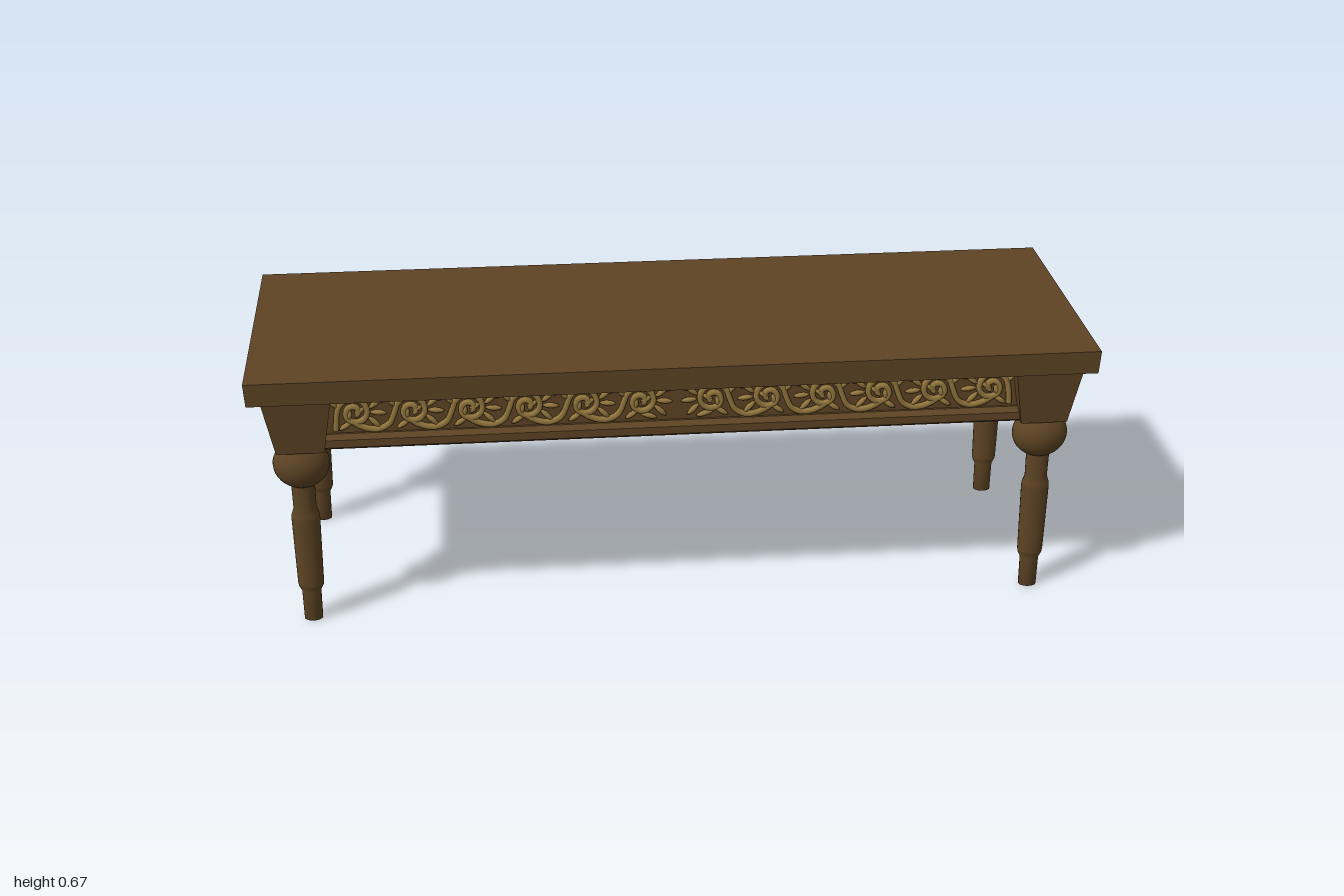
import * as THREE from 'three';
import { mergeGeometries } from 'three/addons/utils/BufferGeometryUtils.js';

const wood = new THREE.MeshStandardMaterial({ color: 0x5e4424 });
wood.name = 'brown wood';
const gilt = new THREE.MeshStandardMaterial({ color: 0x94773d });
gilt.name = 'old gold';

function add(parent, name, geometry, material) {
  const mesh = new THREE.Mesh(geometry, material);
  mesh.name = name;
  parent.add(mesh);
  return mesh;
}

// Box whose lower and upper faces are [x0, x1, z0, z1] rectangles
function taperedBox(y0, y1, low, high) {
  const g = new THREE.BoxGeometry(1, 1, 1);
  const p = g.attributes.position;
  for (let i = 0; i < p.count; i++) {
    const r = p.getY(i) > 0 ? high : low;
    p.setXYZ(i, p.getX(i) > 0 ? r[1] : r[0], p.getY(i) > 0 ? y1 : y0, p.getZ(i) > 0 ? r[3] : r[2]);
  }
  g.computeVertexNormals();
  return g;
}
const rect = (x, z) => [-x, x, -z, z];
const span = (s, a, b) => (s > 0 ? [a, b] : [-b, -a]);

// Turned leg, slightly wider in x than in z
function legGeometry() {
  const profile = [
    [0, 0], [0.0175, 0], [0.0182, 0.078], [0.0235, 0.092], [0.0245, 0.1],
    [0.0268, 0.278], [0.0262, 0.287], [0.0215, 0.304], [0.0222, 0.375],
  ].map(([r, y]) => new THREE.Vector2(r, y));
  return new THREE.LatheGeometry(profile, 24).scale(1.27, 1, 1);
}

// One running scroll: a trough, a rising stem and an inward curl with leaves
function scrollGeometry(s, first) {
  const parts = [];
  const path = first ? [[-0.045, -0.04]] : [[-0.135, -0.022], [-0.11, -0.036], [-0.08, -0.04], [-0.055, -0.028]];
  for (let i = 0; i <= 20; i++) {
    const a = Math.PI - (i / 20) * Math.PI * 3.4;
    const r = 0.04 - 0.034 * (i / 20);
    path.push([r * Math.cos(a), 0.004 + r * Math.sin(a)]);
  }
  const curve = new THREE.CatmullRomCurve3(path.map(([x, y]) => new THREE.Vector3(s * x, y, 0)));
  parts.push(new THREE.TubeGeometry(curve, 52, 0.0075, 6));
  // leaves fanned around the curl and along the trough: x, y, angle, length
  const leaves = [
    [0.05, 0.026, 0.7, 0.02], [0.056, 0.002, -0.1, 0.02], [0.046, -0.022, -0.8, 0.02],
    [0.018, -0.034, -0.3, 0.022], [-0.022, -0.03, 0.6, 0.018], [-0.048, 0.03, 2.2, 0.018],
    [0.012, 0.008, 0.5, 0.014], [-0.012, -0.004, 1.4, 0.014], [0.066, 0.034, 0.3, 0.014],
  ];
  for (const [x, y, a, len] of leaves) {
    const leaf = new THREE.SphereGeometry(1, 8, 6).scale(len, 0.0065, 0.007);
    leaf.rotateZ(s * a).translate(s * x, y, 0);
    parts.push(leaf);
  }
  return mergeGeometries(parts);
}

// Carved band along one long side, mirrored about its middle
function carvedBand() {
  const parts = [];
  for (const s of [1, -1]) {
    for (let i = 0; i < 6; i++) {
      parts.push(scrollGeometry(s, i === 0).translate(s * (-0.755 + i * 0.134), 0.556, 0));
    }
  }
  return mergeGeometries(parts);
}

export function createModel() {
  const model = new THREE.Group();
  model.name = 'bench';

  add(model, 'top', taperedBox(0.609, 0.666, rect(0.997, 0.333), rect(1, 0.335)), wood);

  // Apron with a moulded lower rail
  add(model, 'apron', taperedBox(0.5, 0.61, rect(0.87, 0.274), rect(0.87, 0.274)), wood);
  add(model, 'railBevel', taperedBox(0.495, 0.506, rect(0.888, 0.292), rect(0.876, 0.28)), wood);
  add(model, 'rail', taperedBox(0.476, 0.495, rect(0.888, 0.292), rect(0.888, 0.292)), wood);
  add(model, 'railUnderside', taperedBox(0.468, 0.476, rect(0.878, 0.282), rect(0.888, 0.292)), wood);

  // Carving on both long sides
  const band = carvedBand();
  for (const side of [1, -1]) {
    const carving = add(model, side > 0 ? 'frontCarving' : 'backCarving', band, gilt);
    carving.position.z = side * 0.28;
    carving.rotation.y = side > 0 ? 0 : Math.PI;
  }

  // Four corner blocks with ball and turned leg
  const leg = legGeometry();
  const ball = new THREE.SphereGeometry(1, 28, 20).scale(0.067, 0.062, 0.053);
  for (const sx of [1, -1]) {
    for (const sz of [1, -1]) {
      const corner = new THREE.Group();
      corner.name = (sz > 0 ? 'front' : 'back') + (sx > 0 ? 'Left' : 'Right') + 'Leg';
      const low = [...span(sx, 0.829, 0.941), ...span(sz, 0.212, 0.3)];
      const high = [...span(sx, 0.805, 0.966), ...span(sz, 0.193, 0.32)];
      add(corner, 'cornerBlock', taperedBox(0.468, 0.61, low, high), wood);
      add(corner, 'ball', ball, wood).position.set(sx * 0.888, 0.424, sz * 0.257);
      add(corner, 'turnedLeg', leg, wood).position.set(sx * 0.888, 0, sz * 0.257);
      model.add(corner);
    }
  }
  return model;
}
